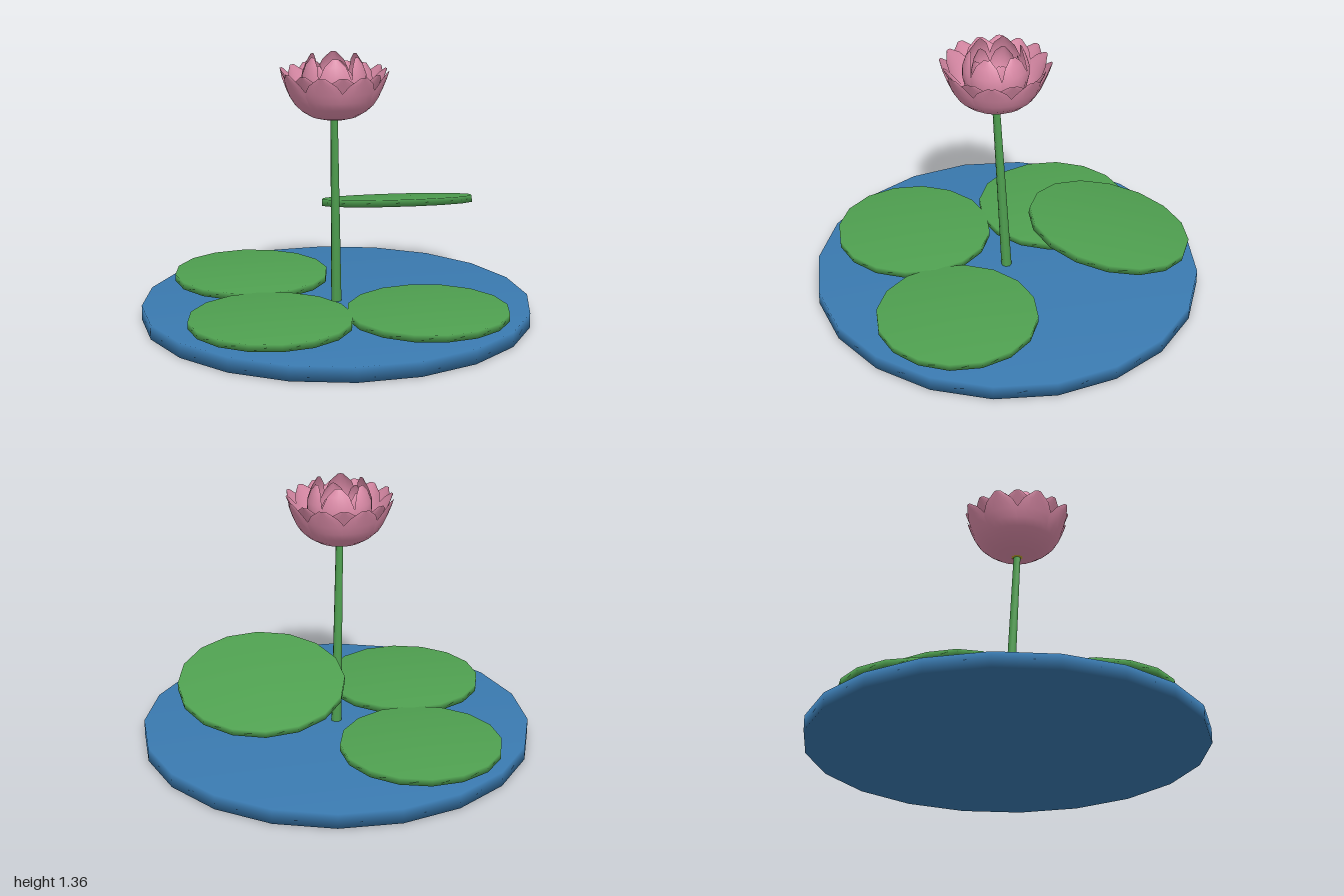
import * as THREE from 'three';
import { mergeVertices } from 'three/addons/utils/BufferGeometryUtils.js';

const mat = (name, color, side = THREE.FrontSide) => {
  const m = new THREE.MeshStandardMaterial({ color, side });
  m.name = name;
  return m;
};

// Disc or rod whose normals run smoothly over the rim
function softCylinder(top, bottom, height, sides) {
  const g = new THREE.CylinderGeometry(top, bottom, height, sides);
  g.deleteAttribute('normal');
  g.deleteAttribute('uv');
  const merged = mergeVertices(g, 1e-4);
  merged.computeVertexNormals();
  return merged;
}

// Cupped petal: a radius/height curve swept sideways, narrow at base and tip
function petalGeometry(profile, halfWidth) {
  const curve = new THREE.SplineCurve(profile.map(([r, y]) => new THREE.Vector2(r, y)));
  const rows = 8, cols = 6, pos = [], index = [];
  for (let i = 0; i <= rows; i++) {
    const t = i / rows, p = curve.getPoint(t);
    const w = halfWidth * Math.pow(Math.sin(Math.PI * (0.06 + 0.92 * Math.pow(t, 1.15))), 0.7);
    for (let j = 0; j <= cols; j++) {
      const s = (j / cols) * 2 - 1;
      const a = (s * w) / Math.max(p.x, 0.09);
      const r = p.x - 0.006 * s * s;
      pos.push(r * Math.sin(a), p.y, r * Math.cos(a));
      if (i < rows && j < cols) {
        const k = i * (cols + 1) + j, n = k + cols + 1;
        index.push(k, k + 1, n, k + 1, n + 1, n);
      }
    }
  }
  const g = new THREE.BufferGeometry();
  g.setAttribute('position', new THREE.Float32BufferAttribute(pos, 3));
  g.setIndex(index);
  g.computeVertexNormals();
  return g;
}

export function createModel() {
  const model = new THREE.Group();
  model.name = 'waterLily';
  const water = mat('water blue', 0x3a7ab0);
  const green = mat('leaf green', 0x4fa050);
  const pink = mat('petal pink', 0xdd8ca9, THREE.DoubleSide);
  const yellow = mat('heart yellow', 0xc8a832);
  const add = (parent, name, geo, material, x = 0, y = 0, z = 0) => {
    const m = new THREE.Mesh(geo, material);
    m.name = name;
    m.position.set(x, y, z);
    parent.add(m);
    return m;
  };

  // Pond
  add(model, 'pond', softCylinder(1, 1, 0.076, 20), water, 0, 0.038, 0);

  // Three floating pads and one raised, tilted pad
  const pad = softCylinder(0.407, 0.407, 0.036, 16);
  for (const [x, z] of [[0.515, 0.215], [-0.515, -0.22], [-0.215, 0.515]])
    add(model, 'floatingPad', pad, green, x, 0.117, z);
  const raised = add(model, 'raisedPad', pad, green, 0.215, 0.49, -0.525);
  raised.quaternion.setFromUnitVectors(
    new THREE.Vector3(0, 1, 0), new THREE.Vector3(-0.075, 1, -0.2).normalize());

  // Leaning stem
  const foot = new THREE.Vector3(0, 0.06, 0.002), head = new THREE.Vector3(0, 1.05, 0.055);
  const dir = head.clone().sub(foot);
  const stem = add(model, 'stem', softCylinder(0.019, 0.027, dir.length(), 8), green);
  stem.position.copy(foot).add(head).multiplyScalar(0.5);
  stem.quaternion.setFromUnitVectors(new THREE.Vector3(0, 1, 0), dir.normalize());

  // Flower
  const flower = new THREE.Group();
  flower.name = 'flower';
  flower.position.set(0, 1.04, 0.055);
  model.add(flower);
  add(flower, 'flowerHeart', new THREE.SphereGeometry(0.05, 12, 8), yellow, 0, 0.035, 0)
    .scale.set(1, 0.85, 1);

  // Petal rings: count, half width, turn, radius/height profile
  const rings = [
    ['outerPetal', 8, 0.125, 0, [[0.03, 0.0], [0.12, 0.02], [0.2, 0.08], [0.243, 0.16], [0.278, 0.25]]],
    ['secondPetal', 8, 0.12, 0.5, [[0.03, 0.01], [0.11, 0.03], [0.185, 0.09], [0.23, 0.17], [0.268, 0.25]]],
    ['middlePetal', 6, 0.1, 0.25, [[0.03, 0.01], [0.1, 0.05], [0.155, 0.13], [0.165, 0.23], [0.13, 0.322]]],
    ['innerPetal', 5, 0.085, 0.5, [[0.02, 0.03], [0.06, 0.06], [0.11, 0.13], [0.125, 0.21], [0.11, 0.28]]],
  ];
  for (const [name, count, halfWidth, turn, profile] of rings) {
    const geo = petalGeometry(profile, halfWidth);
    for (let i = 0; i < count; i++)
      add(flower, name, geo, pink).rotation.y = ((i + turn) / count) * Math.PI * 2;
  }
  return model;
}
